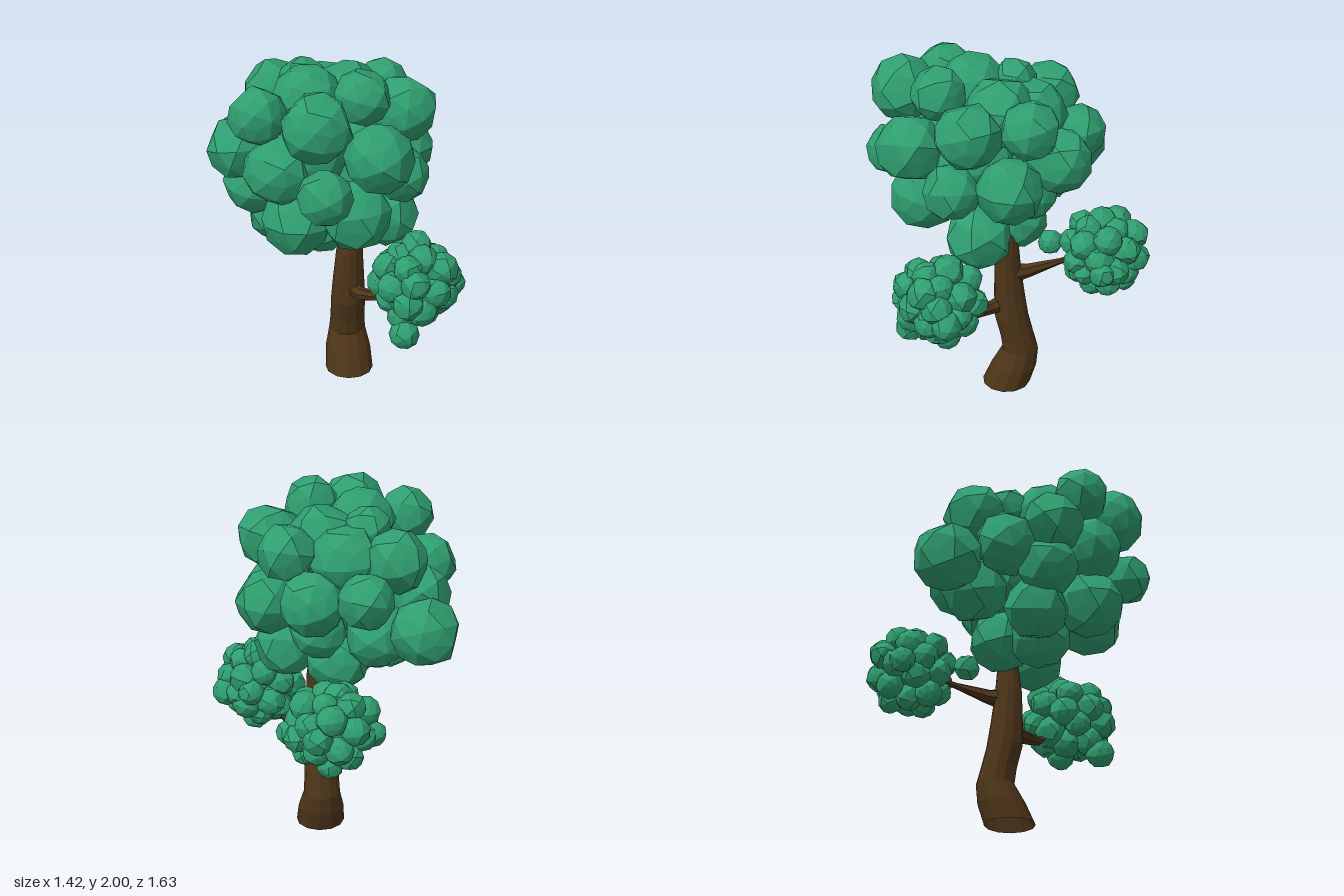
import * as THREE from 'three';

const leafMat = new THREE.MeshStandardMaterial({ color: 0x2f9e70, flatShading: true });
const barkMat = new THREE.MeshStandardMaterial({ color: 0x4d3519, flatShading: true, side: THREE.DoubleSide });
const ballGeo = facetedBall();

// Small seeded generator
function seeded(seed) {
  let s = seed;
  return () => (s = (s * 16807) % 2147483647) / 2147483647;
}

// Subdivided icosahedron with its twelve tips pressed in, so it reads as broad pentagon facets
function facetedBall() {
  const geo = new THREE.IcosahedronGeometry(1, 1);
  const tips = new THREE.IcosahedronGeometry(1, 0).attributes.position;
  const pos = geo.attributes.position;
  const v = new THREE.Vector3();
  const tip = new THREE.Vector3();
  for (let i = 0; i < pos.count; i++) {
    v.fromBufferAttribute(pos, i);
    let isTip = false;
    for (let j = 0; j < tips.count; j++) isTip ||= tip.fromBufferAttribute(tips, j).distanceTo(v) < 0.01;
    // slight unevenness that depends only on the corner's place
    v.multiplyScalar((isTip ? 0.93 : 1.03) + 0.03 * Math.sin(5 * v.x + 7 * v.y + 9 * v.z));
    pos.setXYZ(i, v.x, v.y, v.z);
  }
  geo.computeVertexNormals();
  return geo;
}

// Leaf ball, each turned differently
function leafBall(x, y, z, r, rand) {
  const ball = new THREE.Mesh(ballGeo, leafMat);
  ball.name = 'leafBall';
  ball.position.set(x, y, z);
  ball.scale.setScalar(r);
  ball.rotation.set(rand() * 6.28, rand() * 6.28, rand() * 6.28);
  return ball;
}

// Open tapering limb through stations [x, y, z, radius]; rings face along dir
function limb(name, stations, sides, dir) {
  const n = stations.length - 1;
  const geo = new THREE.CylinderGeometry(1, 1, 1, sides, n, true);
  const turn = new THREE.Quaternion().setFromUnitVectors(new THREE.Vector3(0, 1, 0), dir.clone().normalize());
  const pos = geo.attributes.position;
  const v = new THREE.Vector3();
  for (let i = 0; i < pos.count; i++) {
    v.fromBufferAttribute(pos, i);
    const [x, y, z, r] = stations[Math.round((v.y + 0.5) * n)];
    v.y = 0;
    v.multiplyScalar(r).applyQuaternion(turn);
    pos.setXYZ(i, v.x + x, v.y + y, v.z + z);
  }
  geo.computeVertexNormals();
  const mesh = new THREE.Mesh(geo, barkMat);
  mesh.name = name;
  return mesh;
}

// Side tuft: balls scattered over an ellipsoid around a core, plus a few strays
function tuft(name, [cx, cy, cz], [rx, ry, rz], count, size, seed, strays) {
  const group = new THREE.Group();
  group.name = name;
  const rand = seeded(seed);
  for (let i = 0; i < count; i++) {
    const h = 1 - (2 * (i + 0.5)) / count;
    const w = Math.sqrt(1 - h * h);
    const a = i * 2.39996 + seed + (rand() - 0.5) * 0.4;
    const k = 0.86 + rand() * 0.24;
    group.add(leafBall(cx + rx * k * w * Math.cos(a), cy + ry * k * h, cz + rz * k * w * Math.sin(a),
      size * (0.9 + rand() * 0.2), rand));
  }
  group.add(leafBall(cx, cy, cz, Math.min(rx, ry, rz) * 0.75, rand));
  for (const [x, y, z, r] of strays) group.add(leafBall(x, y, z, r, rand));
  return group;
}

// Canopy balls: x, y, z, radius
const canopyBalls = [
  // front
  [-0.11, 1.77, 0.6, 0.185], [-0.42, 1.77, 0.43, 0.155], [0.12, 1.85, 0.36, 0.15],
  [0.21, 1.57, 0.5, 0.185], [-0.31, 1.48, 0.46, 0.19], [-0.06, 1.42, 0.67, 0.145],
  [-0.22, 1.19, 0.46, 0.185], [0.09, 1.23, 0.45, 0.195],
  // left and right sides
  [0.34, 1.71, 0.16, 0.18], [0.33, 1.38, 0.25, 0.155], [0.33, 1.41, -0.06, 0.18],
  [0.25, 1.07, 0.12, 0.18], [-0.54, 1.53, 0.27, 0.17], [-0.46, 1.31, 0.24, 0.17],
  [-0.5, 1.43, 0.03, 0.18],
  // back
  [-0.53, 1.34, -0.31, 0.19], [-0.22, 1.53, -0.36, 0.155], [0.07, 1.48, -0.3, 0.18],
  [0.22, 1.72, -0.15, 0.16], [0.05, 1.27, -0.13, 0.16], [-0.28, 1.27, -0.18, 0.185],
  // top
  [-0.21, 1.81, 0, 0.13], [-0.17, 1.79, 0.22, 0.19], [-0.37, 1.69, -0.17, 0.175],
  [0.04, 1.73, 0.04, 0.2], [-0.1, 1.67, -0.12, 0.2],
  // underside and filling
  [-0.34, 1.11, 0.17, 0.175], [-0.11, 1.05, 0.17, 0.18], [-0.05, 1.05, -0.05, 0.175],
  [-0.15, 1.4, 0.1, 0.25], [0.08, 1.45, 0.2, 0.25], [-0.15, 1.55, 0.35, 0.22],
];

export function createModel() {
  const tree = new THREE.Group();
  tree.name = 'tree';

  // Bent trunk
  tree.add(limb('trunk', [
    [0.05, 0, 0, 0.14], [0.042, 0.12, -0.045, 0.132], [0.036, 0.23, -0.08, 0.106], [0.038, 0.32, -0.062, 0.1],
    [0.042, 0.45, -0.03, 0.1], [0.045, 0.6, -0.017, 0.09], [0.05, 0.78, -0.008, 0.076],
    [0.065, 0.95, -0.012, 0.06], [0.07, 1.14, -0.035, 0.03],
  ], 12, new THREE.Vector3(0, 1, 0)));

  // Branches carrying the side tufts
  tree.add(limb('frontBranch', [
    [0.04, 0.55, -0.01, 0.05], [0.12, 0.535, 0.08, 0.04], [0.24, 0.555, 0.15, 0.024], [0.38, 0.68, 0.24, 0.012],
  ], 7, new THREE.Vector3(0.8, 0.15, 0.6)));
  tree.add(limb('backBranch', [
    [0.05, 0.74, -0.02, 0.065], [0.04, 0.755, -0.12, 0.042], [0, 0.81, -0.3, 0.018], [-0.04, 0.87, -0.48, 0.012],
  ], 7, new THREE.Vector3(-0.1, 0.2, -1)));

  // Main canopy
  const canopy = new THREE.Group();
  canopy.name = 'canopy';
  const rand = seeded(71);
  for (const [x, y, z, r] of canopyBalls) canopy.add(leafBall(x, y, z, r, rand));
  tree.add(canopy);

  // Side tufts
  tree.add(tuft('frontTuft', [0.42, 0.745, 0.31], [0.18, 0.2, 0.19], 30, 0.083, 5,
    [[0.36, 0.52, 0.5, 0.083], [0.62, 0.71, 0.24, 0.083]]));
  tree.add(tuft('backTuft', [-0.04, 0.88, -0.55], [0.19, 0.19, 0.185], 30, 0.078, 9,
    [[-0.12, 0.865, -0.23, 0.072], [-0.27, 0.86, -0.57, 0.072], [0.18, 0.85, -0.56, 0.072]]));

  return tree;
}
